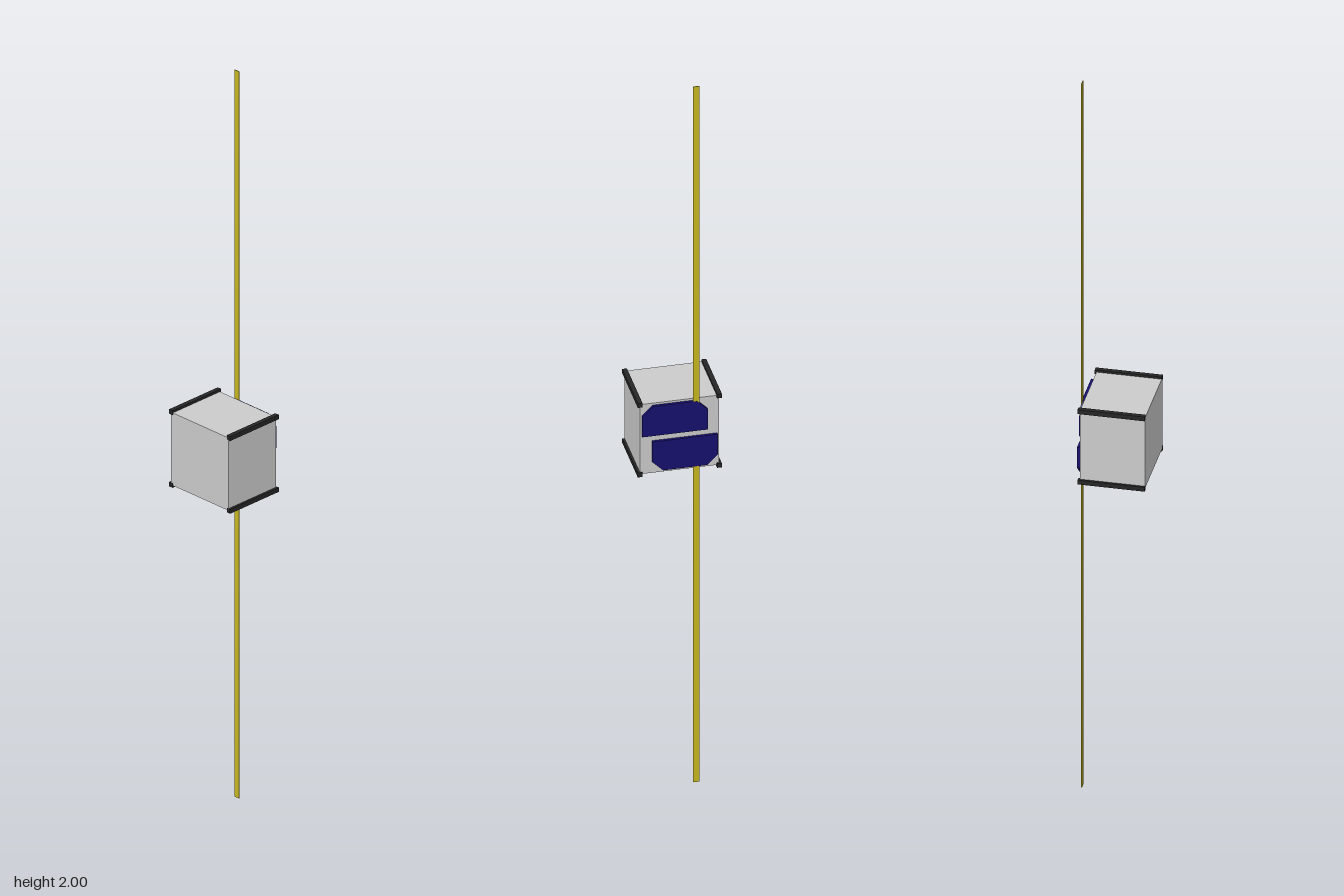
import * as THREE from 'three';

const material = (color) => new THREE.MeshStandardMaterial({ color });

export function createModel() {
  const model = new THREE.Group();
  const grey = material(0xcccccc);
  const black = material(0x262626);
  const blue = material(0x17106e);
  const yellow = material(0xc8b820);

  const add = (name, geometry, mat, x, y, z) => {
    const mesh = new THREE.Mesh(geometry, mat);
    mesh.name = name;
    mesh.position.set(x, y, z);
    model.add(mesh);
    return mesh;
  };

  // Cube body
  add('body', new THREE.BoxGeometry(0.2, 0.2, 0.164), grey, 0, 1, 0.002);

  // Rails along the four corner edges
  const railGeometry = new THREE.BoxGeometry(0.012, 0.012, 0.169);
  for (const sx of [-1, 1]) {
    for (const sy of [-1, 1]) {
      add('cornerRail', railGeometry, black, sx * 0.1, 1 + sy * 0.1, 0);
    }
  }

  // Solar cell: rectangle with its two outer corners cut off
  const w = 0.0825, h = 0.0425, cut = 0.027;
  const cellShape = new THREE.Shape([
    [-w, -h], [w, -h], [w, h - cut], [w - cut, h], [-w + cut, h], [-w, h - cut],
  ].map(([x, y]) => new THREE.Vector2(x, y)));
  const cellGeometry = new THREE.ExtrudeGeometry(cellShape, { depth: 0.007, bevelEnabled: false });
  cellGeometry.translate(0, 0, -0.0035);

  // Two staggered cells on the back, the lower one turned half round
  add('upperSolarCell', cellGeometry, blue, 0.0125, 1.0525, -0.0845);
  add('lowerSolarCell', cellGeometry, blue, -0.0125, 0.9505, -0.0845).rotation.z = Math.PI;

  // Tape antennas, up and down from the back edges
  const antennaGeometry = new THREE.BoxGeometry(0.016, 0.91, 0.002);
  add('upperAntenna', antennaGeometry, yellow, -0.041, 1.545, -0.0865);
  add('lowerAntenna', antennaGeometry, yellow, -0.041, 0.455, -0.0865);

  return model;
}
